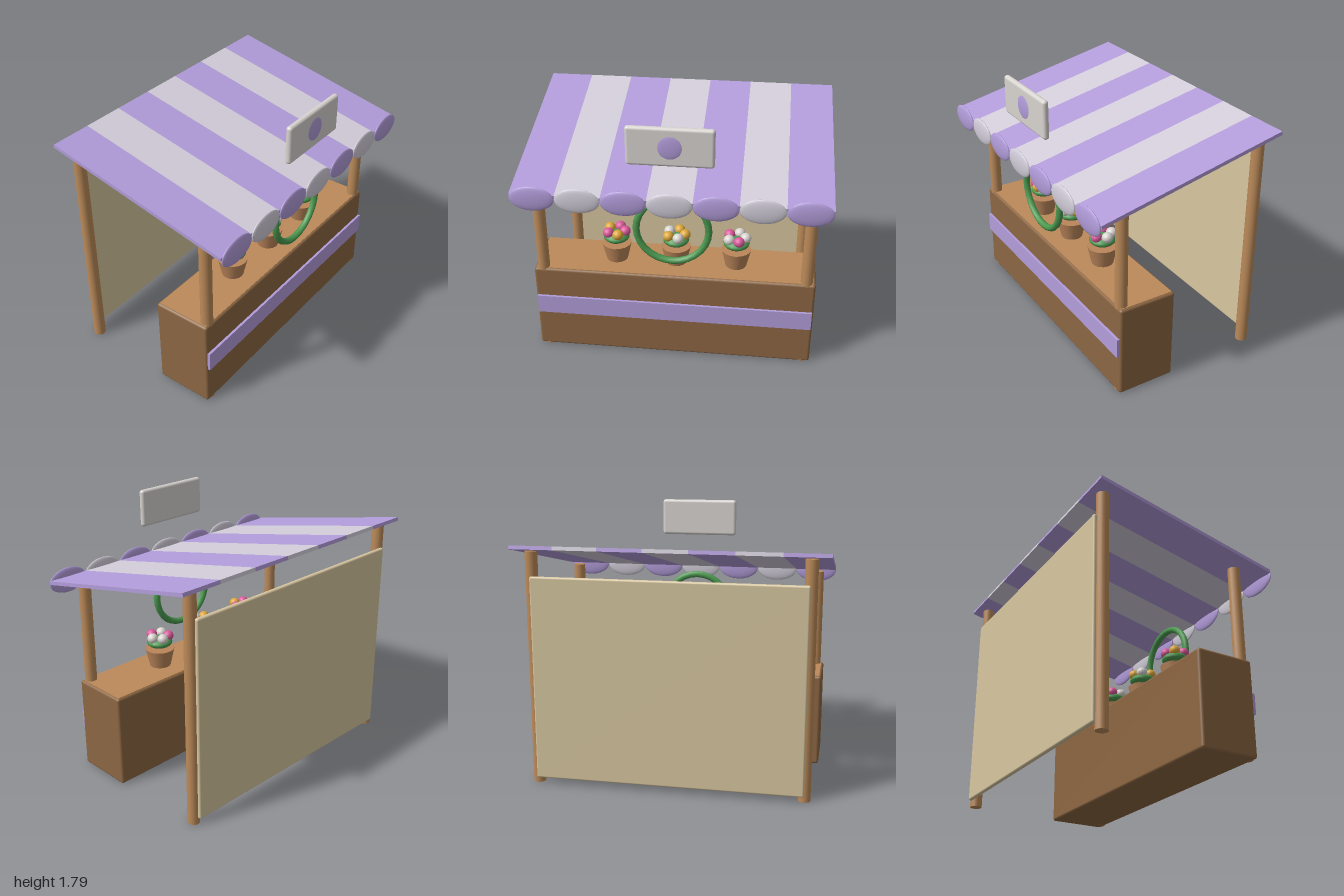
import * as THREE from 'three';
import { RoundedBoxGeometry } from 'three/addons/geometries/RoundedBoxGeometry.js';

const mat = (name, color) => {
  const m = new THREE.MeshStandardMaterial({ color });
  m.name = name;
  return m;
};

export function createModel() {
  const lilac = mat('lilac', 0xb39ddb);
  const paleFabric = mat('pale fabric', 0xd3ceda);
  const offWhite = mat('off white', 0xd8d4d0);
  const wood = mat('light wood', 0xbb8a59);
  const brown = mat('dark wood', 0x8d6743);
  const tan = mat('tan panel', 0xd8c7a0);
  const green = mat('leaf green', 0x4c9a50);
  const clay = mat('clay', 0xbb865a);
  const pink = mat('pink petals', 0xdb5a9c);
  const yellow = mat('yellow petals', 0xdda83a);

  const model = new THREE.Group();
  model.name = 'flowerStall';

  const add = (name, geometry, material, x, y, z, parent = model) => {
    const mesh = new THREE.Mesh(geometry, material);
    mesh.name = name;
    mesh.position.set(x, y, z);
    parent.add(mesh);
    return mesh;
  };
  const ellipsoid = (rx, ry, rz, w = 20, h = 12) =>
    new THREE.SphereGeometry(1, w, h).scale(rx, ry, rz);

  // Counter with a lighter worktop and a painted band
  add('counter', new RoundedBoxGeometry(1.88, 0.638, 0.4, 3, 0.018), brown, 0, 0.319, 0.26);
  add('worktop', new THREE.BoxGeometry(1.85, 0.004, 0.37), wood, 0, 0.638, 0.26);
  add('counterBand', new THREE.BoxGeometry(1.86, 0.135, 0.02), lilac, 0, 0.355, 0.467);

  // Four round posts, the rear pair taller
  for (const side of [-1, 1]) {
    add('frontPost', new THREE.CylinderGeometry(0.04, 0.04, 1.31, 16), wood, side * 0.88, 0.655, 0.42);
    add('backPost', new THREE.CylinderGeometry(0.04, 0.04, 1.545, 16), wood, side * 0.88, 0.7725, -0.57);
  }

  // Rear panel
  add('backPanel', new RoundedBoxGeometry(1.76, 1.35, 0.03, 3, 0.013), tan, 0, 0.715, -0.615);

  // Sloping striped awning with a scalloped front edge
  const awning = new THREE.Group();
  awning.name = 'awning';
  awning.position.set(0, 1.438, -0.01);
  awning.rotation.x = 0.212;
  model.add(awning);
  const stripe = 2 / 7;
  for (let i = 0; i < 7; i++) {
    const x = (i - 3) * stripe;
    const fabric = i % 2 ? paleFabric : lilac;
    add('awningStripe', new THREE.BoxGeometry(stripe, 0.024, 1.305), fabric, x, 0, 0, awning);
    add('scallop', ellipsoid(stripe / 2, 0.085, 0.018), fabric, x, 1.286, 0.635);
  }

  // Sign board with a round emblem
  add('signBoard', new RoundedBoxGeometry(0.54, 0.255, 0.042, 4, 0.02), offWhite, 0, 1.658, 0.569);
  add('signDisc', ellipsoid(0.082, 0.082, 0.012, 24), lilac, 0, 1.658, 0.585);

  // Hanging wreath
  add('wreath', new THREE.TorusGeometry(0.234, 0.023, 8, 28), green, 0, 1.018, 0.478);

  // Potted flowers, each pot alternating two petal colours
  const petals = [pink, yellow, offWhite];
  for (let p = 0; p < 3; p++) {
    const pot = new THREE.Group();
    pot.name = 'flowerPot';
    pot.position.set((p - 1) * 0.405, 0, 0.263);
    model.add(pot);
    add('pot', new THREE.CylinderGeometry(0.1, 0.072, 0.125, 16), clay, 0, 0.7025, 0, pot);
    add('leaves', ellipsoid(0.088, 0.04, 0.088, 16, 10), green, 0, 0.813, 0, pot);
    for (let i = 0; i < 5; i++) {
      const a = (i * Math.PI * 2) / 5;
      add('flower', ellipsoid(0.037, 0.035, 0.037, 14, 10), petals[(p + (i % 2)) % 3],
        Math.cos(a) * 0.06, 0.853, Math.sin(a) * 0.06, pot);
    }
  }

  return model;
}
